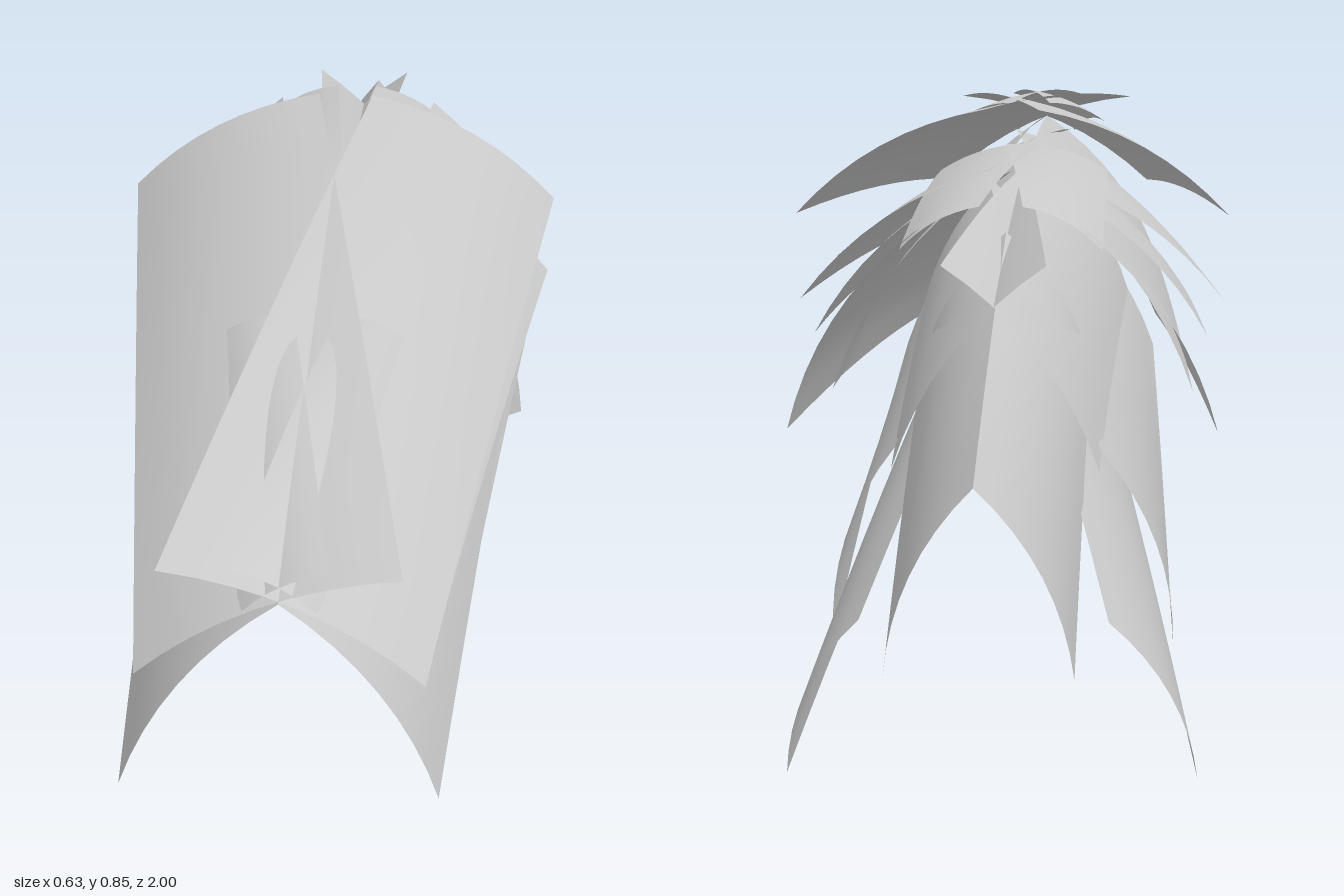
import * as THREE from 'three';

const material = new THREE.MeshStandardMaterial({ color: 0xcccccc, side: THREE.DoubleSide });
const BOW = 0.085;  // sideways rounding of each edge, relative to its width
const LIFT = 0.013; // arch along the length

// edge from the parting to the outside, bowed up and outward
function bowedEdge([x0, y0, z0, x1, y1, z1]) {
  const inner = new THREE.Vector3(x0, y0, z0), outer = new THREE.Vector3(x1, y1, z1);
  const control = inner.clone().add(outer).multiplyScalar(0.5);
  control.x += 2 * BOW * (y0 - y1);
  control.y += 2 * BOW * (x1 - x0);
  return new THREE.QuadraticBezierCurve3(inner, control, outer);
}

// curved sheet lofted between a front edge and a back edge
function sheet(front, back, side) {
  const geometry = new THREE.PlaneGeometry(1, 1, 8, 8);
  const pos = geometry.attributes.position;
  for (let i = 0; i < pos.count; i++) {
    const u = pos.getX(i) + 0.5, v = pos.getY(i) + 0.5;
    const p = front.getPoint(u).lerp(back.getPoint(u), v);
    pos.setXYZ(i, side * p.x, p.y + LIFT * 4 * v * (1 - v), p.z);
  }
  // the mirrored sheet needs its faces turned outward
  if (side < 0) {
    const index = geometry.index.array;
    for (let i = 0; i < index.length; i += 3) [index[i], index[i + 1]] = [index[i + 1], index[i]];
  }
  geometry.computeVertexNormals();
  return geometry;
}

export function createModel() {
  const model = new THREE.Group();
  model.name = 'layeredHair';

  // a left and right sheet; edges are inner corner x, y, z then outer corner x, y, z
  function addPair(name, frontEdge, backEdge) {
    const front = bowedEdge(frontEdge), back = bowedEdge(backEdge);
    const pair = new THREE.Group();
    pair.name = name;
    for (const side of [1, -1]) {
      const mesh = new THREE.Mesh(sheet(front, back, side), material);
      mesh.name = name + (side > 0 ? 'Left' : 'Right');
      pair.add(mesh);
    }
    model.add(pair);
  }

  // crown, crossing over the parting towards the front
  addPair('crownSheet', [-0.15, 0.79, 0.96, 0.18, 0.64, 0.97], [0.04, 0.853, -0.18, 0.315, 0.7, -0.16]);
  addPair('crownStrand', [-0.06, 0.795, 0.96, 0.05, 0.73, 0.96], [0.03, 0.82, 0.4, 0.12, 0.79, 0.4]);

  // overlapping side layers
  addPair('upperSideSheet', [-0.05, 0.745, 0.8, 0.185, 0.58, 0.8], [0.03, 0.765, -0.17, 0.31, 0.575, -0.16]);
  addPair('middleSideSheet', [-0.03, 0.735, 0.4, 0.22, 0.56, 0.38], [0.05, 0.75, -0.22, 0.285, 0.53, -0.2]);
  addPair('lowerSideSheet', [0, 0.755, 0.97, 0.2, 0.49, 1], [0.02, 0.76, -0.17, 0.265, 0.44, -0.15]);
  addPair('innerSideSheet', [-0.05, 0.72, 0.72, 0.2, 0.43, 0.73], [0.12, 0.705, -0.45, 0.3, 0.425, -0.41]);

  // nape, crossing over the parting towards the back
  addPair('napeStrand', [-0.03, 0.77, 0.2, 0.13, 0.73, 0.2], [0.03, 0.74, -0.43, 0.14, 0.68, -0.43]);
  addPair('napeSheet', [0.01, 0.74, 0.3, 0.16, 0.53, 0.3], [-0.07, 0.68, -0.6, 0.14, 0.4, -0.57]);

  // hanging locks and tail
  addPair('shortLowerLock', [0, 0.69, 0.35, 0.2, 0.43, 0.38], [0.14, 0.42, -0.52, 0.24, 0.12, -0.39]);
  addPair('longLowerLock', [-0.05, 0.74, 0.05, 0.14, 0.345, 0.05], [0.16, 0.25, -0.81, 0.275, 0, -0.65]);
  addPair('tailSheet', [0, 0.69, -0.3, 0.12, 0.5, -0.3], [0, 0.46, -1, 0.12, 0.2, -0.91]);
  return model;
}
